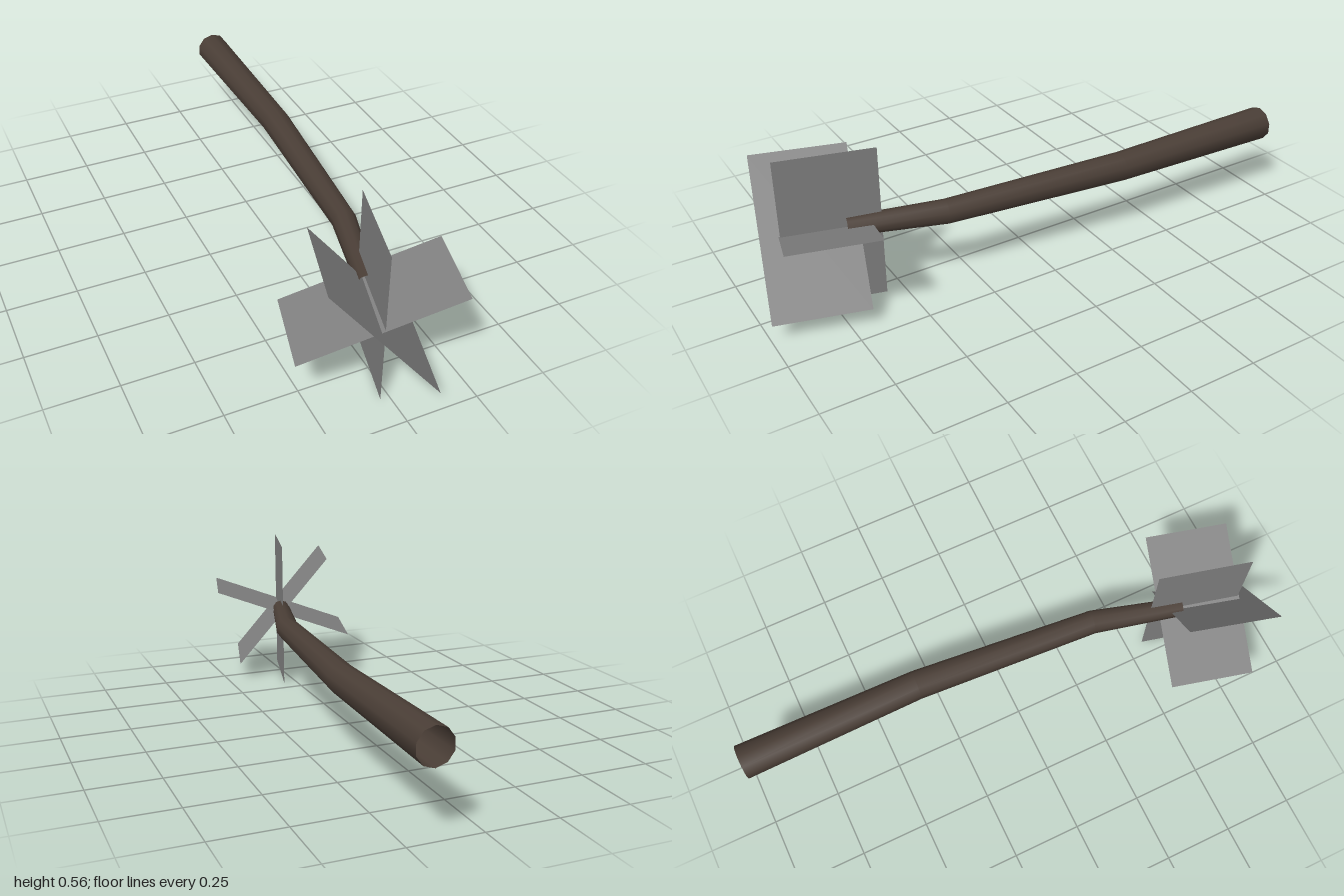
import * as THREE from 'three';

const bark = new THREE.MeshStandardMaterial({ color: 0x4a3e36, side: THREE.DoubleSide });
bark.name = 'brown bark';
const leaf = new THREE.MeshStandardMaterial({ color: 0x808080, side: THREE.DoubleSide });
leaf.name = 'grey foliage';

// Open ten-sided tube through rings of [x, y, z, radius, yaw]
function taperedTube(rings, sides) {
  const pos = [], index = [];
  rings.forEach(([x, y, z, r, yaw], i) => {
    for (let j = 0; j < sides; j++) {
      const a = ((j + 0.5) / sides) * Math.PI * 2;
      const u = Math.cos(a) * r;
      pos.push(x + u * Math.cos(yaw), y + Math.sin(a) * r, z + u * Math.sin(yaw));
      if (i === 0) continue;
      const k = (j + 1) % sides, p = (i - 1) * sides, q = i * sides;
      index.push(p + j, p + k, q + j, p + k, q + k, q + j);
    }
  });
  const g = new THREE.BufferGeometry();
  g.setAttribute('position', new THREE.Float32BufferAttribute(pos, 3));
  g.setIndex(index);
  g.computeVertexNormals();
  return g;
}

// Flat card given by its centre and two full edge vectors
function card(c, along, across) {
  const g = new THREE.PlaneGeometry(1, 1), p = g.attributes.position;
  for (let i = 0; i < p.count; i++) {
    const u = p.getX(i), v = p.getY(i);
    p.setXYZ(i, ...c.map((n, k) => n + along[k] * u + across[k] * v));
  }
  g.computeVertexNormals();
  return g;
}

export function createModel() {
  const model = new THREE.Group();
  model.name = 'leafyBranch';
  const add = (name, geometry, material) => {
    const mesh = new THREE.Mesh(geometry, material);
    mesh.name = name;
    model.add(mesh);
  };

  // Bent branch, thick at the back and thin at the leafy tip
  add('branch', taperedTube([
    [0.165, 0.284, -1, 0.063, 0],
    [0.163, 0.285, -0.33, 0.053, 0.04],
    [0.108, 0.287, 0.352, 0.043, 0.17],
    [0.02, 0.288, 0.676, 0.034, 0.26],
  ], 10), bark);

  // Three foliage cards crossing along the tip direction
  add('uprightLeafCard', card([0.01, 0.283, 0.725], [-0.082, 0, 0.325], [0, 0.565, 0]), leaf);
  add('steepLeafCard', card([-0.017, 0.283, 0.79], [-0.086, 0, 0.315], [-0.35, 0.433, -0.095]), leaf);
  add('shallowLeafCard', card([-0.002, 0.284, 0.741], [-0.077, 0, 0.297], [0.51, 0.192, 0.136]), leaf);
  return model;
}
